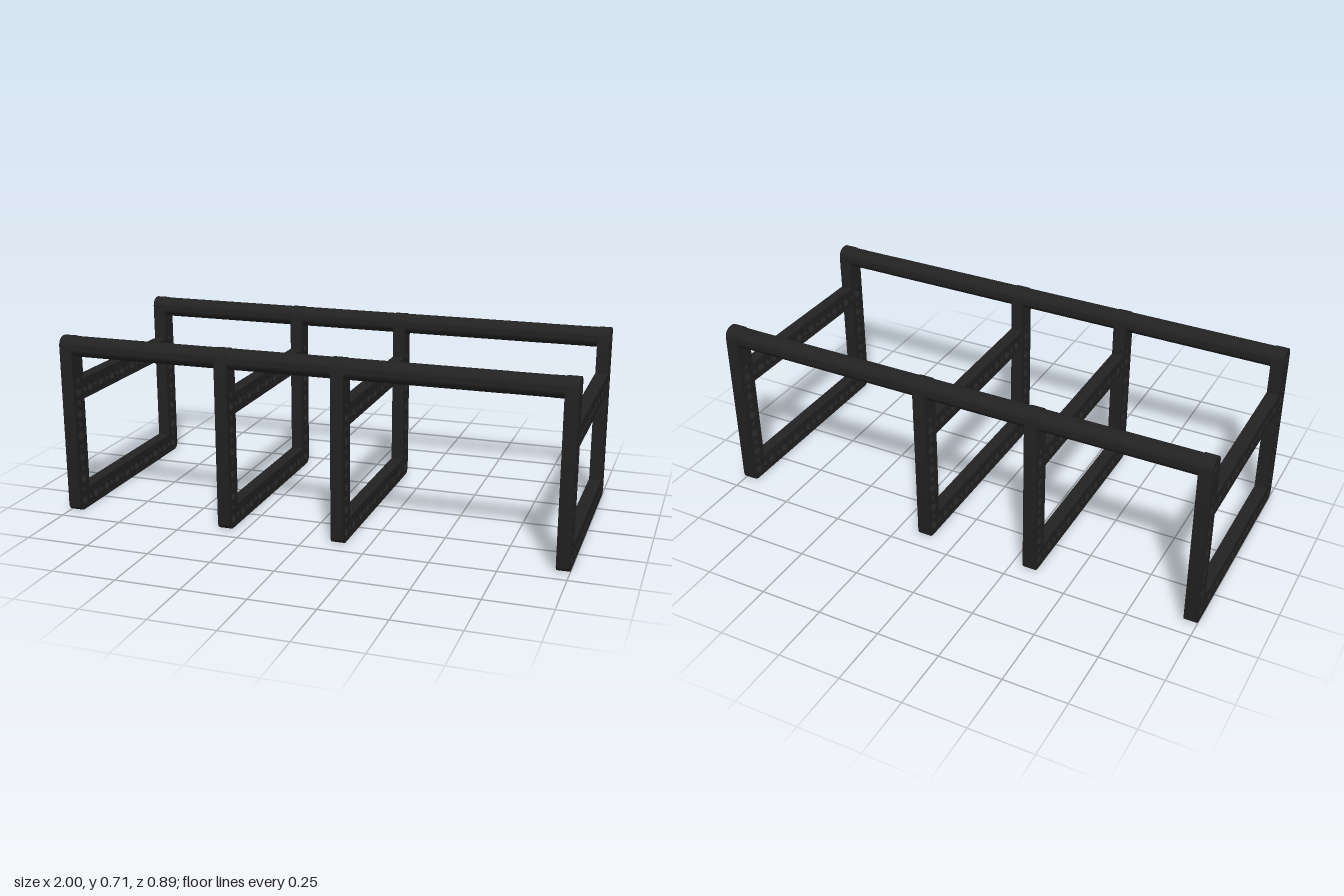
import * as THREE from 'three';
import { toCreasedNormals } from 'three/addons/utils/BufferGeometryUtils.js';

const PITCH = 0.0897;   // spacing of the large holes
const BIG = 0.019, SMALL = 0.011;
const SIDE = 0.4037;    // z of the uprights' centre line
const RAIL_Y = 0.671;
const THICK = 0.05;

function addHole(shape, x, y, r) {
  const hole = new THREE.Path();
  hole.absarc(x, y, r, 0, Math.PI * 2, true);
  shape.holes.push(hole);
}

// Extrude a profile drawn in (z, y) along x, starting at x0
function extrudeX(shape, x0, length, segments) {
  const g = new THREE.ExtrudeGeometry(shape, { depth: length, bevelEnabled: false, curveSegments: segments });
  g.rotateY(Math.PI / 2);
  g.translate(x0, 0, 0);
  return toCreasedNormals(g, 0.6);
}

// Perforated end frame: two uprights, a bottom beam and a cross beam
function frameShape() {
  const o = 0.444, i = 0.363, top = 0.712, r = 0.03, rt = 0.036, mid = 0.532;
  const s = new THREE.Shape();
  s.moveTo(-o + r, 0);
  s.lineTo(o - r, 0);
  s.absarc(o - r, r, r, -Math.PI / 2, 0, false);
  s.lineTo(o, top - rt);
  s.absarc(o - rt, top - rt, rt, 0, Math.PI / 2, false);
  s.lineTo(i + rt, top);
  s.absarc(i + rt, top - rt, rt, Math.PI / 2, Math.PI, false);
  s.lineTo(i, mid);
  s.lineTo(-i, mid);
  s.lineTo(-i, top - rt);
  s.absarc(-i - rt, top - rt, rt, 0, Math.PI / 2, false);
  s.lineTo(-o + rt, top);
  s.absarc(-o + rt, top - rt, rt, Math.PI / 2, Math.PI, false);
  s.lineTo(-o, r);
  s.absarc(-o + r, r, r, Math.PI, Math.PI * 1.5, false);

  // large opening between the two beams
  const w = new THREE.Path();
  w.moveTo(-i, 0.084);
  w.lineTo(-i, 0.45);
  w.lineTo(i, 0.45);
  w.lineTo(i, 0.084);
  w.closePath();
  s.holes.push(w);

  // alternating holes along both beams
  for (const y of [0.042, 0.491])
    for (let k = 0; k <= 18; k++)
      addHole(s, -SIDE + k * PITCH / 2, y, k % 2 ? SMALL : BIG);
  // alternating holes up both uprights, then the rail hole
  for (const z of [-SIDE, SIDE]) {
    for (let k = 1; k <= 11; k++)
      if (k !== 10) addHole(s, z, 0.042 + k * 0.0898 / 2, k % 2 ? SMALL : BIG);
    addHole(s, z, RAIL_Y, BIG);
  }
  return s;
}

export function createModel() {
  const model = new THREE.Group();
  const black = new THREE.MeshStandardMaterial({ color: 0x222222 });
  black.name = 'black plastic';

  // Four identical frames
  const starts = [-1, -0.352, 0.106, 0.95];
  const frameGeo = extrudeX(frameShape(), 0, THICK, 10);
  starts.forEach((x, n) => {
    const frame = new THREE.Mesh(frameGeo, black);
    frame.name = 'frame' + (n + 1);
    frame.position.x = x;
    model.add(frame);
  });

  // Hollow rail sections between the frames; the last span has a joint collar
  const sections = [
    [-0.95, -0.352, 0.04], [-0.302, 0.106, 0.04],
    [0.156, 0.75, 0.04], [0.75, 0.9, 0.0395], [0.9, 0.95, 0.04],
  ];
  for (const [name, z] of [['frontRail', SIDE], ['backRail', -SIDE]]) {
    const rail = new THREE.Group();
    rail.name = name;
    for (const [a, b, r] of sections) {
      const ring = new THREE.Shape();
      ring.absarc(0, 0, r, 0, Math.PI * 2, false);
      addHole(ring, 0, 0, BIG);
      const section = new THREE.Mesh(extrudeX(ring, a, b - a, 16), black);
      section.name = 'railSection';
      rail.add(section);
    }
    rail.position.set(0, RAIL_Y, z);
    model.add(rail);
  }
  return model;
}
